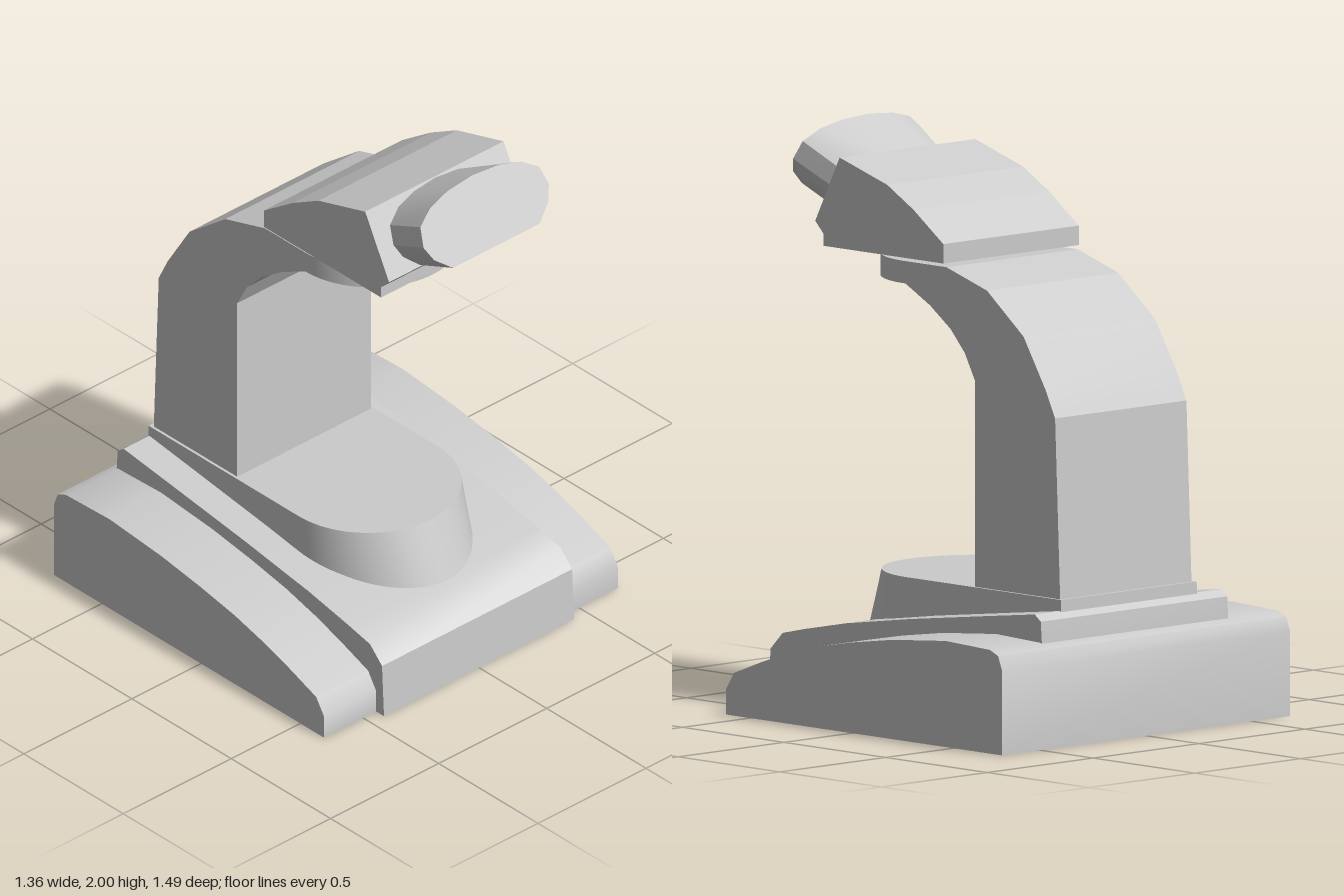
import * as THREE from 'three';
import { toCreasedNormals } from 'three/addons/utils/BufferGeometryUtils.js';

const material = new THREE.MeshStandardMaterial({ color: 0xcccccc });
const shellMaterial = new THREE.MeshStandardMaterial({ color: 0xcccccc, side: THREE.DoubleSide });

const toShape = (points) => new THREE.Shape(points.map(([a, b]) => new THREE.Vector2(a, b)));
const extrude = (shape, depth) =>
  new THREE.ExtrudeGeometry(shape, { depth, bevelEnabled: false, curveSegments: 20 });

// Side profile given as [z, y], extruded across x and centred
function sideProfile(points, width) {
  return extrude(toShape(points), width).translate(0, 0, -width / 2).rotateY(-Math.PI / 2);
}

// Moves every vertex by a rule
function deform(geometry, rule) {
  const pos = geometry.attributes.position;
  const v = new THREE.Vector3();
  for (let i = 0; i < pos.count; i++) {
    rule(v.fromBufferAttribute(pos, i));
    pos.setXYZ(i, v.x, v.y, v.z);
  }
  return geometry;
}

// Removes the faces lying flat at height y, leaving an open underside
function openBottom(geometry, y) {
  const p = geometry.attributes.position.array;
  const kept = [];
  for (let i = 0; i < p.length; i += 9) {
    const flat = [1, 4, 7].every((k) => Math.abs(p[i + k] - y) < 1e-4);
    if (!flat) kept.push(...p.slice(i, i + 9));
  }
  const out = new THREE.BufferGeometry();
  out.setAttribute('position', new THREE.Float32BufferAttribute(kept, 3));
  return out;
}

export function createModel() {
  const model = new THREE.Group();
  model.name = 'microscope';

  function add(name, geometry, crease, mat = material) {
    const mesh = new THREE.Mesh(toCreasedNormals(geometry, crease), mat);
    mesh.name = name;
    model.add(mesh);
  }

  // Wide hollow foot
  const foot = sideProfile([
    [0.62, 0], [0.62, 0.085], [0.58, 0.147], [0.44, 0.2], [0.32, 0.24], [0.17, 0.28], [0, 0.312],
    [-0.2, 0.342], [-0.46, 0.365], [-0.68, 0.357], [-0.72, 0.34], [-0.74, 0.29], [-0.74, 0],
  ], 1.36);
  add('foot', openBottom(foot, 0), 0.6, shellMaterial);

  // Raised centre section of the base
  const centre = sideProfile([
    [0.66, 0], [0.65, 0.2], [0.59, 0.26], [0.48, 0.285], [0.28, 0.325], [-0.04, 0.373],
    [-0.4, 0.42], [-0.65, 0.452], [-0.68, 0.43], [-0.685, 0.36], [-0.685, 0],
  ], 0.88);
  add('baseCentre', openBottom(centre, 0), 0.6, shellMaterial);

  // Stage plinth: square at the back, round and sloping at the front
  const plan = new THREE.Shape();
  plan.moveTo(-0.32, 0.655);
  plan.lineTo(-0.32, -0.1);
  plan.absarc(0, -0.1, 0.32, Math.PI, Math.PI * 2, false);
  plan.lineTo(0.32, 0.655);
  const plinth = extrude(plan, 0.21).rotateX(-Math.PI / 2).translate(0, 0.28, 0);
  deform(plinth, (v) => {
    const drop = (0.49 - v.y) / 0.21;
    if (v.z > 0.1) v.z = 0.1 + (v.z - 0.1) * (1 + 0.25 * drop);
    v.x *= 1 + 0.02 * drop;
  });
  add('stagePlinth', openBottom(plinth, 0.28), 0.6, shellMaterial);

  // Column bending forward into the arm
  add('arm', sideProfile([
    [-0.22, 0.485], [-0.22, 1.2], [-0.17, 1.29], [-0.1, 1.365], [0, 1.435], [0.1, 1.487],
    [0.12, 1.497], [0.12, 1.575], [-0.08, 1.575], [-0.28, 1.515], [-0.46, 1.375],
    [-0.57, 1.2], [-0.615, 1.11], [-0.64, 0.485],
  ], 0.62), 0.1);

  // Half-round plate at the end of the arm
  const tip = new THREE.Shape();
  tip.absarc(0, -0.12, 0.31, Math.PI, Math.PI * 2, false);
  add('armTip', extrude(tip, 0.077).rotateX(-Math.PI / 2).translate(0, 1.498, 0), 0.6);

  // Viewing head, floating just above the arm
  add('head', sideProfile([
    [-0.075, 1.588], [0.515, 1.588], [0.515, 1.63], [0.555, 1.67], [0.435, 1.9],
    [0.2, 1.83], [0.07, 1.757], [-0.075, 1.655],
  ], 0.64), 0.1);

  // Flared eyepiece with an arched top and flat underside
  const half = [[0.2, -0.13], [0.265, -0.075], [0.29, -0.02], [0.275, 0.05], [0.21, 0.095], [0.12, 0.12]];
  const outline = [...half, [0, 0.13], ...half.map(([x, y]) => [-x, y]).reverse()];
  const length = 0.22;
  const eyepiece = deform(extrude(toShape(outline), length), (v) => {
    const near = 1 - v.z / length;
    v.x *= 1 - 0.13 * near;
    v.y *= 1 - 0.04 * near;
  });
  add('eyepiece', eyepiece.rotateX(-0.477).translate(0, 1.783, 0.491), 0.5);

  return model;
}
